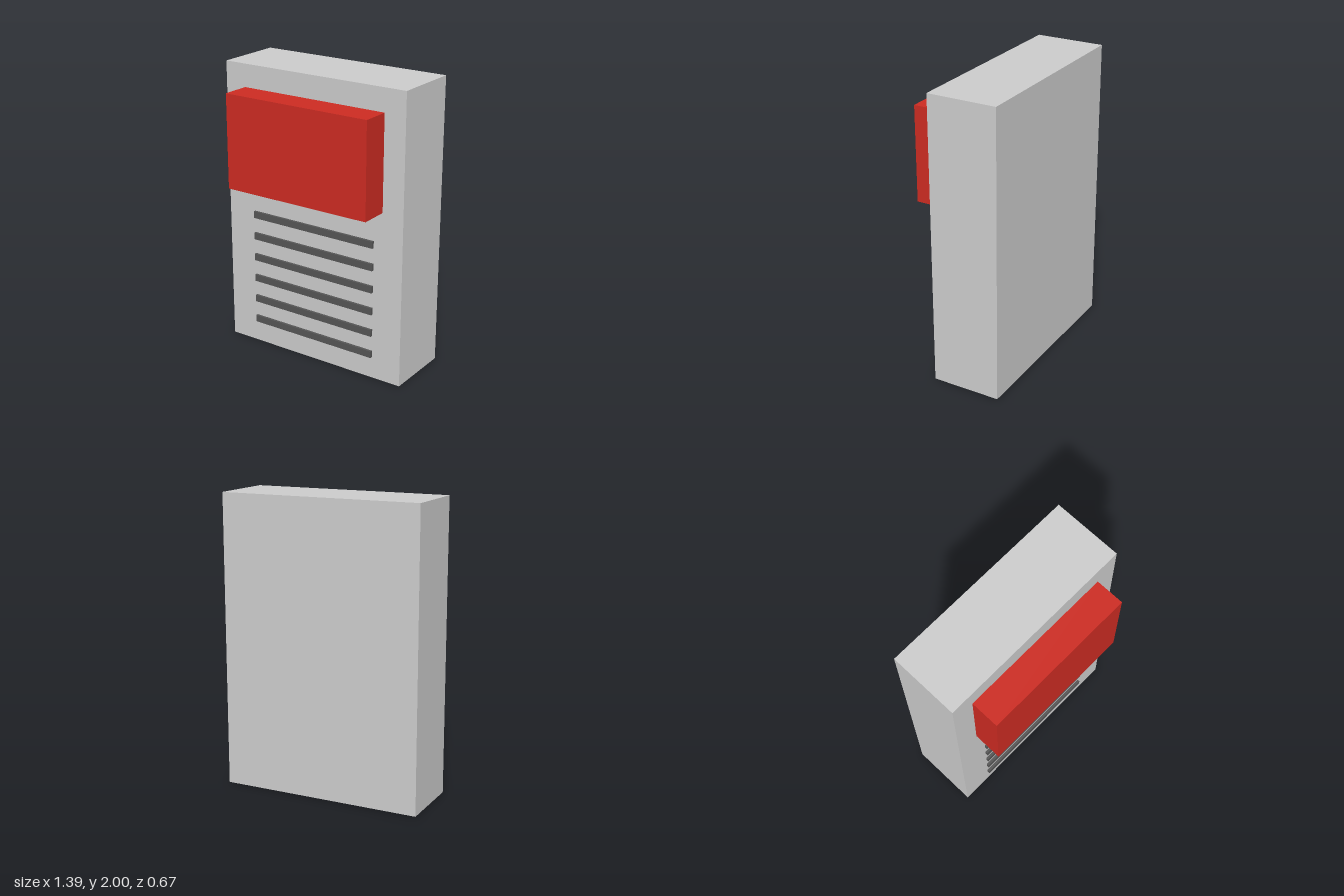
import * as THREE from 'three';

export function createModel() {
  const model = new THREE.Group();
  const grey = new THREE.MeshStandardMaterial({ color: 0xcccccc });
  const red = new THREE.MeshStandardMaterial({ color: 0xcc2b22 });
  const dark = new THREE.MeshStandardMaterial({ color: 0x555555 });

  // Box centred on x, given its width and its y and z ranges
  function addBox(name, width, [y0, y1], [z0, z1], material, parent = model) {
    const mesh = new THREE.Mesh(new THREE.BoxGeometry(width, y1 - y0, z1 - z0), material);
    mesh.position.set(0, (y0 + y1) / 2, (z0 + z1) / 2);
    mesh.name = name;
    parent.add(mesh);
  }

  const front = 0.139;

  // Housing and raised front panel
  addBox('housing', 1.39, [0, 2], [-0.337, front], grey);
  addBox('frontPanel', 1.084, [1.19, 1.842], [front, 0.337], red);

  // Row of grille slats below the panel
  const grille = new THREE.Group();
  grille.name = 'grille';
  model.add(grille);
  for (let i = 0; i < 6; i++) {
    const y = 0.176 + i * 0.157;
    addBox(`grilleSlat${i + 1}`, 0.96, [y - 0.024, y + 0.024], [front, 0.157], dark, grille);
  }

  return model;
}
